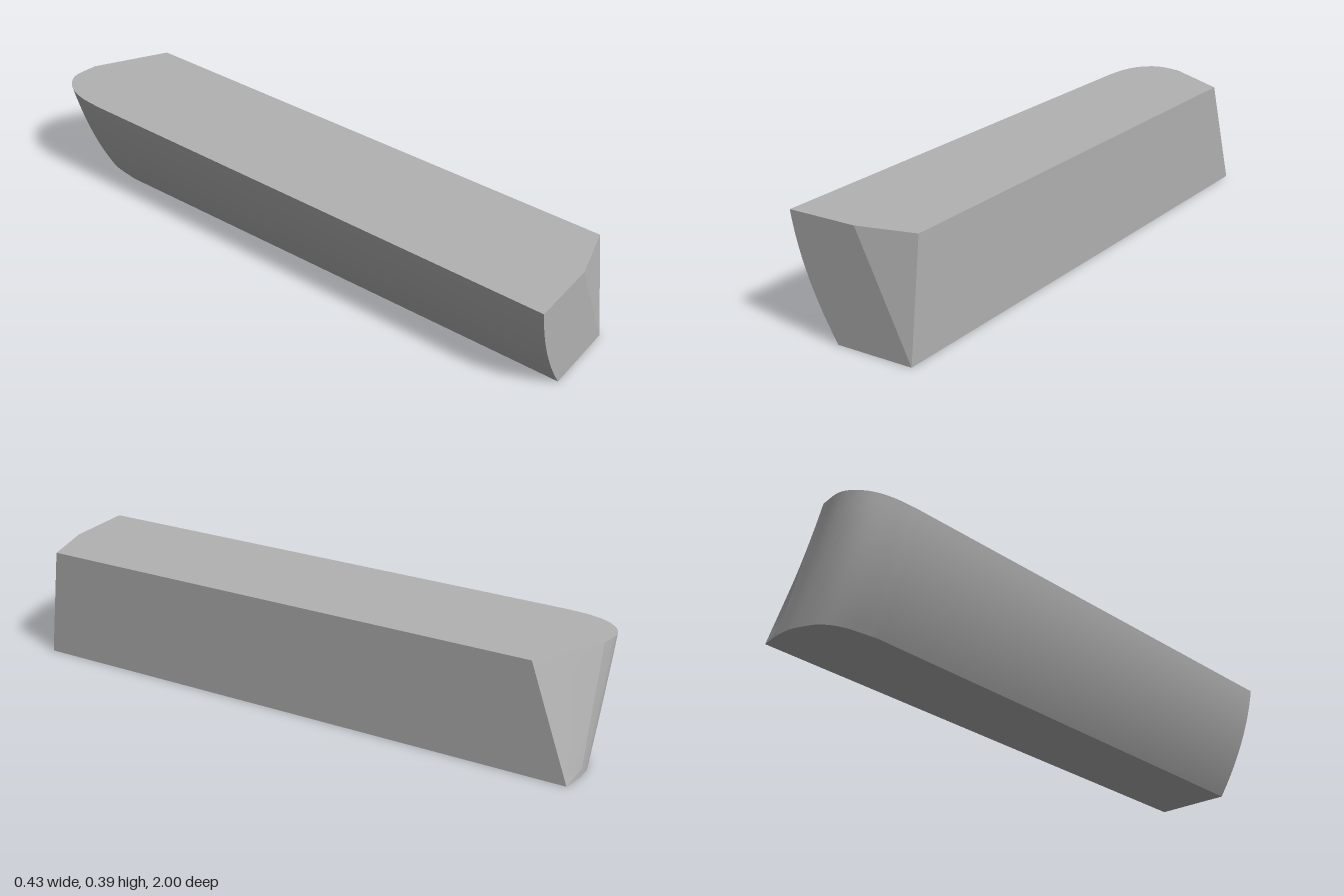
import * as THREE from 'three';
import { toCreasedNormals } from 'three/addons/utils/BufferGeometryUtils.js';

const HEIGHT = 0.39;

// Rounded rear corner, from the rear chamfer to the curved side:
// [top x, top z, bottom x, bottom z, outward bulge]
const REAR = [
  [-0.015, -0.988, 0.14, -0.998, 0],
  [-0.09, -1, 0.085, -0.998, 0.1],
  [-0.132, -0.987, 0.035, -0.983, 0.2],
  [-0.175, -0.94, -0.012, -0.955, 0.35],
  [-0.198, -0.87, -0.045, -0.895, 0.5],
  [-0.205, -0.79, -0.063, -0.79, 0.6],
];

// All corner rails, counterclockwise seen from above
function makeRails() {
  const curve = (a, b) =>
    new THREE.CatmullRomCurve3(REAR.map((r) => new THREE.Vector3(r[a], r[4], r[b])));
  const top = curve(0, 1), bottom = curve(2, 3);
  const rails = [[0.215, -0.845, 0.215, -0.982, 0]];
  const n = 30;
  for (let i = 0; i <= n; i++) {
    const p = top.getPoint(i / n), q = bottom.getPoint(i / n);
    rails.push([p.x, Math.max(p.z, -1), q.x, Math.max(q.z, -1), p.y]);
  }
  rails.push([-0.215, 1, -0.055, 1, 0.6]); // front end of the curved side
  rails.push([0.025, 1, 0.215, 1, 0]); // front chamfer edge
  rails.push([0.215, 0.95, 0.215, 1, 0]); // front end of the flat side
  return rails;
}

// Point on a rail at height fraction t
function railPoint([tx, tz, bx, bz, bulge], t) {
  const w = t + bulge * t * (1 - t);
  return new THREE.Vector3(bx + (tx - bx) * w, HEIGHT * t, bz + (tz - bz) * t);
}

function makeBlock() {
  const rails = makeRails(), levels = 14, positions = [];
  const rings = [];
  for (let k = 0; k <= levels; k++) rings.push(rails.map((r) => railPoint(r, k / levels)));

  const triangle = (a, b, c) => {
    const area = b.clone().sub(a).cross(c.clone().sub(a)).length();
    if (area > 1e-9) for (const p of [a, b, c]) positions.push(p.x, p.y, p.z);
  };

  // Walls between neighbouring levels
  for (let k = 0; k < levels; k++) {
    const low = rings[k], up = rings[k + 1];
    for (let i = 0; i < rails.length; i++) {
      const j = (i + 1) % rails.length;
      triangle(low[i], low[j], up[j]);
      triangle(low[i], up[j], up[i]);
    }
  }

  // Flat top and bottom
  const cap = (ring, flip) => {
    const points = ring.filter((p, i) => p.distanceTo(ring[(i + 1) % ring.length]) > 1e-6);
    const outline = points.map((p) => new THREE.Vector2(p.x, -p.z));
    for (const [a, b, c] of THREE.ShapeUtils.triangulateShape(outline, [])) {
      if (flip) triangle(points[a], points[c], points[b]);
      else triangle(points[a], points[b], points[c]);
    }
  };
  cap(rings[levels], false);
  cap(rings[0], true);

  const geometry = new THREE.BufferGeometry();
  geometry.setAttribute('position', new THREE.Float32BufferAttribute(positions, 3));
  return toCreasedNormals(geometry, 0.22);
}

export function createModel() {
  const group = new THREE.Group();
  group.name = 'shapedBlock';
  const grey = new THREE.MeshStandardMaterial({ color: 0xb2b2b2 });
  grey.name = 'grey';
  const block = new THREE.Mesh(makeBlock(), grey);
  block.name = 'block';
  group.add(block);
  return group;
}
